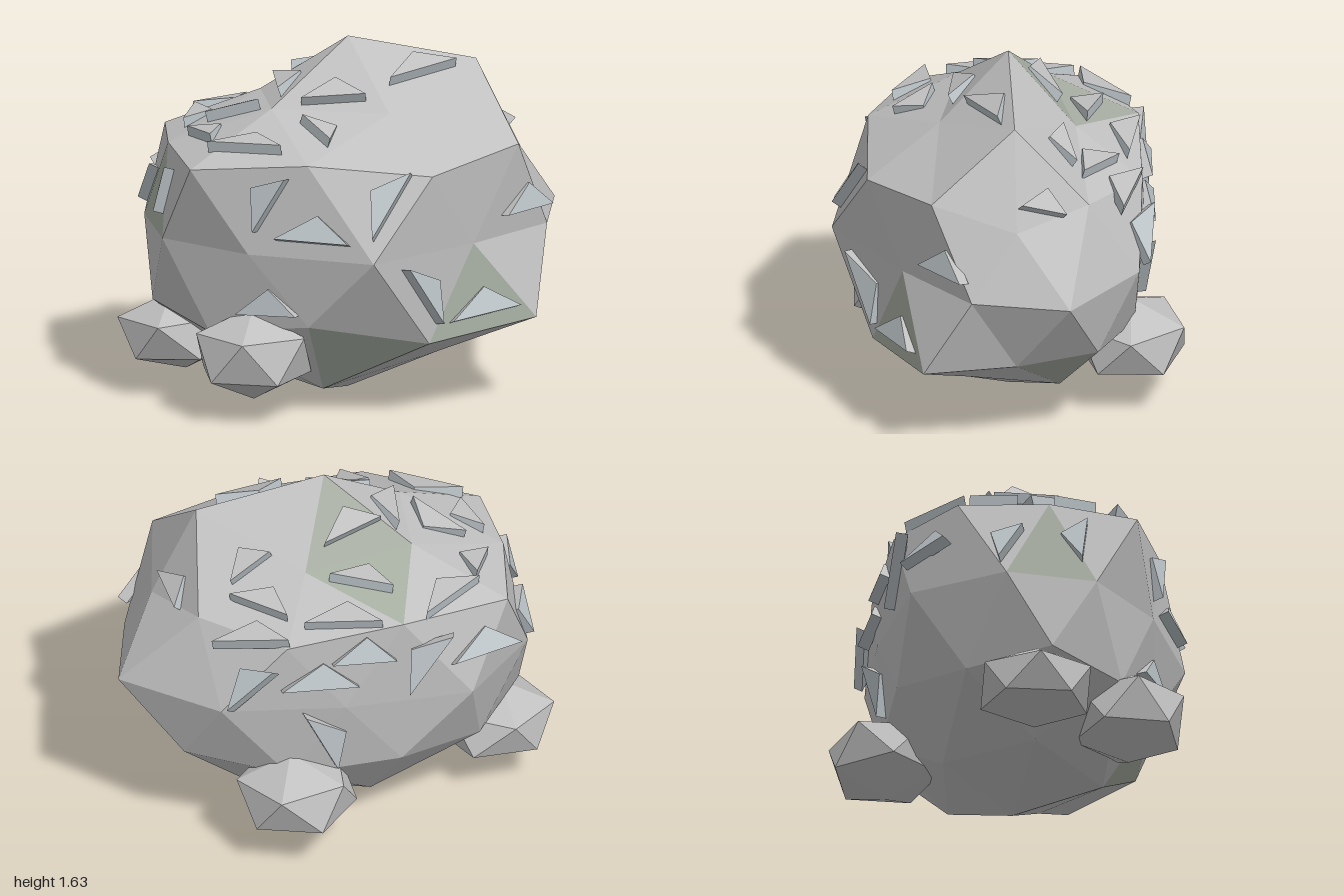
import * as THREE from 'three';

const stone = new THREE.MeshStandardMaterial({ color: 0xc0c0c0 });
stone.name = 'grey stone';
const moss = new THREE.MeshStandardMaterial({ color: 0xa6ada1 });
moss.name = 'mossy stone';
const chipped = new THREE.MeshStandardMaterial({ color: 0xbdc5c9 });
chipped.name = 'bluish broken stone';

const CENTRE = new THREE.Vector3(0.03, 0.78, 0);
const rad = THREE.MathUtils.degToRad;

// Icosphere standing on a vertex, with one upper-ring vertex towards +x
function icoPoleUp(detail) {
  const g = new THREE.IcosahedronGeometry(1, detail);
  g.rotateX(-Math.atan2((1 + Math.sqrt(5)) / 2, 1)).rotateY(Math.PI / 2);
  g.deleteAttribute('uv');
  return g;
}
const azimuth = (x, z) => (THREE.MathUtils.radToDeg(Math.atan2(z, x)) + 360) % 360;

// Radial bulge of each vertex: ring height, first azimuth, factors around the ring
const RINGS = [
  [1, 0, [1.06]],
  [0.851, 0, [1.06, 0.83, 0.85, 0.83, 0.78]],
  [0.526, 36, [1, 1, 0.92, 0.97, 0.87]],
  [0.447, 0, [0.84, 1, 1.03, 1.02, 0.91]],
  [0, 18, [0.88, 0.81, 1.04, 0.87, 0.88, 0.9, 0.95, 0.81, 0.91, 0.98]],
  [-0.447, 36, [1.05, 0.93, 0.95, 0.9, 0.92]],
  [-0.526, 0, [0.86, 1.01, 0.95, 0.91, 0.9]],
  [-0.851, 36, [0.85, 1, 0.93, 0.92, 0.9]],
  [-1, 0, [0.975]],
];
// Mossy facets: azimuth and mean height
const MOSSY = [[252, 0.9], [252, 0.743], [54, -0.324], [95, -0.608], [337, -0.608], [180, 0.175]];

function makeBoulder() {
  const g = icoPoleUp(1);
  const p = g.attributes.position;
  // Sort facets into stone and moss groups
  for (let i = 0; i < p.count; i += 3) {
    let x = 0, y = 0, z = 0;
    for (let k = i; k < i + 3; k++) { x += p.getX(k) / 3; y += p.getY(k) / 3; z += p.getZ(k) / 3; }
    const a = azimuth(x, z);
    const isMoss = MOSSY.some(([ma, my]) => Math.abs(a - ma) < 7 && Math.abs(y - my) < 0.05);
    g.addGroup(i, 3, isMoss ? 1 : 0);
  }
  // Push each vertex in or out along its radius
  for (let i = 0; i < p.count; i++) {
    const x = p.getX(i), y = p.getY(i), z = p.getZ(i);
    const [, start, f] = RINGS.find((r) => Math.abs(r[0] - y) < 0.03);
    const n = f.length;
    const s = f[(Math.round((azimuth(x, z) - start) * n / 360) + n) % n];
    p.setXYZ(i, CENTRE.x + x * s * 1.04, CENTRE.y + y * s * 0.8, z * s * 0.76);
  }
  g.computeVertexNormals();
  const mesh = new THREE.Mesh(g, [stone, moss]);
  mesh.name = 'boulder';
  return mesh;
}

// Raised chips in three sizes; each spot is azimuth, elevation and roll in degrees
const SMALL_CHIPS = [
  [113, 51, -55], [198, 34, -10], [169, 35, 10], [333, 52, 40],
  [350, 31, -20], [173, 14, 80], [195, 11, 60],
];
const MEDIUM_CHIPS = [
  [131, 20, 60], [23, 11, 0], [130, -18, 3], [117, 72, 5], [250, 55, -20], [240, 77, 15],
  [180, 68, 0], [180, 47, 60], [313, 43, -10], [262, 26, 0], [308, 12, 50],
];
const LARGE_CHIPS = [
  [111, 11, 0], [86, 21, 57], [67, -13, -55], [44, -20, 5], [144, 37, 5], [15, 67, 10],
  [221, 35, 10], [269, 40, 5], [310, 29, 12], [240, 18, 55], [281, 16, 0], [276, -14, -65],
  [218, 15, 0],
];

// Triangular wedge lying on the boulder, base edge lifted and tip sunk
function makeChip(boulder, length, depth, [turn, rise, roll]) {
  const shape = new THREE.Shape([
    new THREE.Vector2(-length / 2, 0), new THREE.Vector2(length / 2, 0),
    new THREE.Vector2(length * 0.05, depth),
  ]);
  const g = new THREE.ExtrudeGeometry(shape, { depth: 0.055, bevelEnabled: false });
  g.translate(0, -depth / 2, -0.025).rotateX(-0.3).rotateZ(rad(roll));
  const dir = new THREE.Vector3(
    Math.cos(rad(rise)) * Math.cos(rad(turn)), Math.sin(rad(rise)), Math.cos(rad(rise)) * Math.sin(rad(turn)));
  const far = CENTRE.clone().addScaledVector(dir, 3);
  const hit = new THREE.Raycaster(far, dir.negate()).intersectObject(boulder)[0];
  const n = hit.face.normal;
  const right = new THREE.Vector3(0, 1, 0).cross(n).normalize();
  const up = n.clone().cross(right);
  g.applyMatrix4(new THREE.Matrix4().makeBasis(right, up, n).setPosition(hit.point));
  // Weathered grey on faces turned up, bluish break on the others
  g.clearGroups();
  for (let i = 0; i < g.attributes.normal.count; i += 3) {
    g.addGroup(i, 3, g.attributes.normal.getY(i) > 0.6 ? 0 : 1);
  }
  const mesh = new THREE.Mesh(g, [stone, chipped]);
  mesh.name = 'surfaceChip';
  return mesh;
}

// Small stones at the foot
function makePebble(x, y, z, height, turn, lean) {
  const g = icoPoleUp(0).rotateY(turn).rotateZ(lean).scale(0.29, height, 0.28);
  g.computeVertexNormals();
  const mesh = new THREE.Mesh(g, stone);
  mesh.name = 'pebble';
  mesh.position.set(x, y, z);
  return mesh;
}

export function createModel() {
  const model = new THREE.Group();
  model.name = 'boulderCluster';
  const boulder = makeBoulder();
  model.add(boulder);

  const chips = new THREE.Group();
  chips.name = 'surfaceChips';
  for (const spot of SMALL_CHIPS) chips.add(makeChip(boulder, 0.22, 0.11, spot));
  for (const spot of MEDIUM_CHIPS) chips.add(makeChip(boulder, 0.29, 0.12, spot));
  for (const spot of LARGE_CHIPS) chips.add(makeChip(boulder, 0.35, 0.12, spot));
  model.add(chips);

  model.add(
    makePebble(-0.46, 0.295, 0.43, 0.215, 0.6, 0),
    makePebble(-0.73, 0.28, -0.05, 0.18, 0.5, 0.12),
    makePebble(0.24, 0.31, -0.54, 0.2, 1.2, -0.1),
  );
  return model;
}
